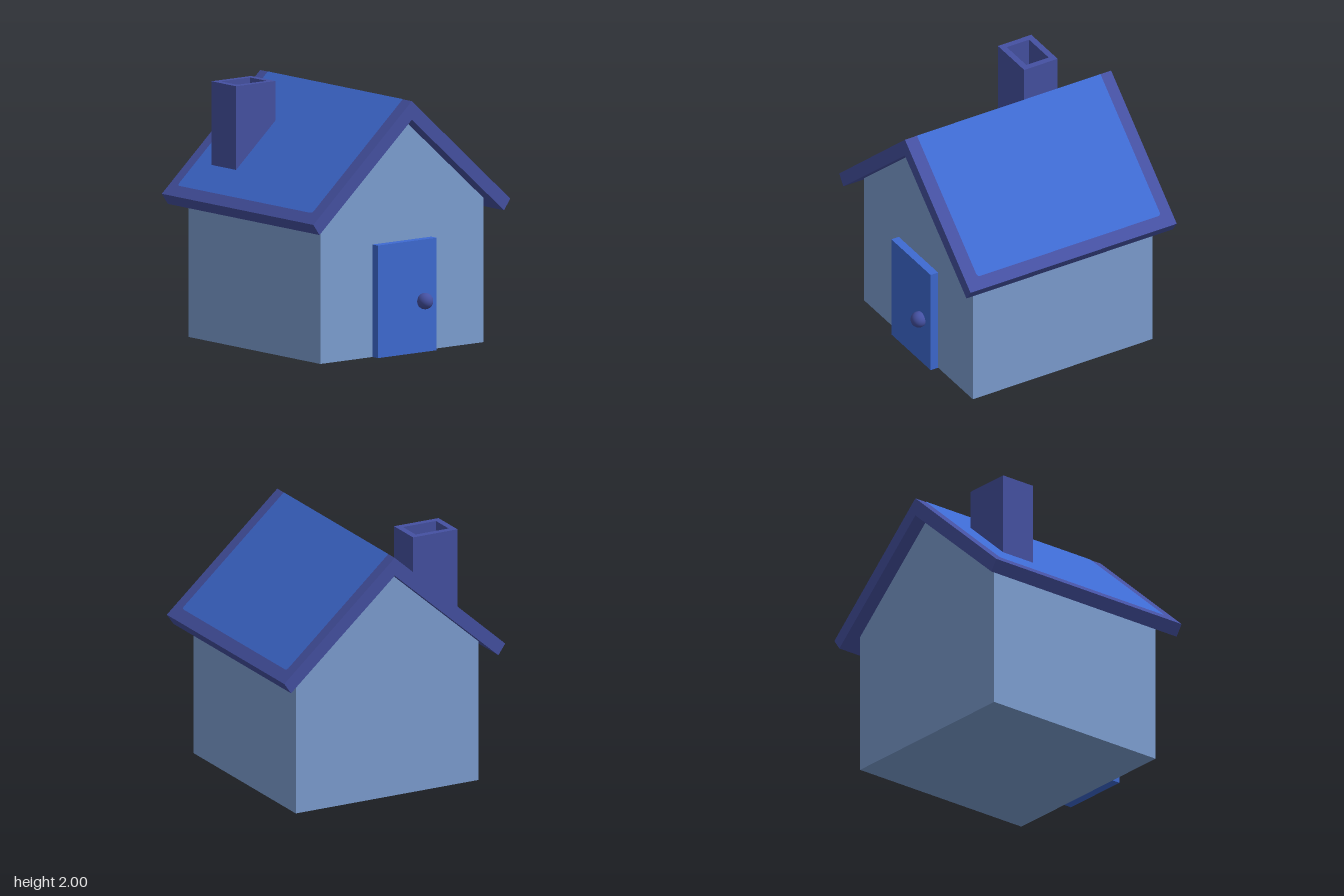
import * as THREE from 'three';

const wallBlue = new THREE.MeshStandardMaterial({ name: 'wallBlue', color: 0x7d9fd2 });
const trimIndigo = new THREE.MeshStandardMaterial({ name: 'trimIndigo', color: 0x4551a2 });
const brightBlue = new THREE.MeshStandardMaterial({ name: 'brightBlue', color: 0x3e6ad2 });
const sootGrey = new THREE.MeshStandardMaterial({ name: 'sootGrey', color: 0x363636 });

function add(parent, name, geometry, material, x = 0, y = 0, z = 0) {
  const mesh = new THREE.Mesh(geometry, material);
  mesh.name = name;
  mesh.position.set(x, y, z);
  parent.add(mesh);
  return mesh;
}

// Closed shape from [x, y] points
const outline = (points) => new THREE.Shape(points.map(([x, y]) => new THREE.Vector2(x, y)));

const extrude = (shape, depth) => new THREE.ExtrudeGeometry(shape, { depth, bevelEnabled: false });

function rectangle(w, h) {
  return outline([[-w / 2, -h / 2], [w / 2, -h / 2], [w / 2, h / 2], [-w / 2, h / 2]]);
}

// Rectangle with rounded lower corners, hanging down from y = 0
function panelShape(w, h, r) {
  const s = new THREE.Shape();
  s.moveTo(w / 2, 0);
  s.lineTo(-w / 2, 0);
  s.lineTo(-w / 2, -h + r);
  s.quadraticCurveTo(-w / 2, -h, -w / 2 + r, -h);
  s.lineTo(w / 2 - r, -h);
  s.quadraticCurveTo(w / 2, -h, w / 2, -h + r);
  s.closePath();
  return s;
}

export function createModel() {
  const house = new THREE.Group();
  house.name = 'house';

  // Gabled body
  const body = outline([[-0.803, 0], [0.803, 0], [0.803, 1.124], [0, 1.83], [-0.803, 1.124]]);
  add(house, 'walls', extrude(body, 1.61), wallBlue, 0, 0, -0.822);

  // Roof chevron with overhanging eaves
  const roof = outline([
    [0, 1.975], [-0.97, 1.115], [-0.91, 1.03], [0, 1.83], [0.91, 1.03], [0.97, 1.115],
  ]);
  add(house, 'roof', extrude(roof, 1.85), trimIndigo, 0, 0, -0.94);

  // Bright inset panel on each slope, meeting at the ridge
  const pitch = Math.atan2(1.975 - 1.115, 0.97);
  const panel = new THREE.ShapeGeometry(panelShape(1.646, 1.195, 0.03), 6);
  for (const side of [-1, 1]) {
    const up = new THREE.Vector3(-side * Math.cos(pitch), Math.sin(pitch), 0);
    const normal = new THREE.Vector3(side * Math.sin(pitch), Math.cos(pitch), 0);
    const along = new THREE.Vector3().crossVectors(up, normal);
    const mesh = add(house, side > 0 ? 'leftRoofPanel' : 'rightRoofPanel', panel, brightBlue,
      normal.x * 0.003, 1.975 + normal.y * 0.003, -0.02);
    mesh.quaternion.setFromRotationMatrix(new THREE.Matrix4().makeBasis(along, up, normal));
  }

  // Hollow chimney with a sooty floor inside
  const flue = rectangle(0.39, 0.3);
  flue.holes.push(rectangle(0.29, 0.2));
  add(house, 'chimney', extrude(flue, 0.68).rotateX(-Math.PI / 2), trimIndigo, -0.515, 1.32, -0.505);
  add(house, 'chimneyFloor', new THREE.BoxGeometry(0.3, 0.02, 0.21), sootGrey, -0.515, 1.72, -0.505);

  // Door and knob
  add(house, 'door', new THREE.BoxGeometry(0.58, 0.875, 0.085), brightBlue, 0, 0.4375, 0.8125);
  add(house, 'doorKnob', new THREE.SphereGeometry(0.063, 32, 20), trimIndigo, 0.155, 0.4, 0.88);

  return house;
}
